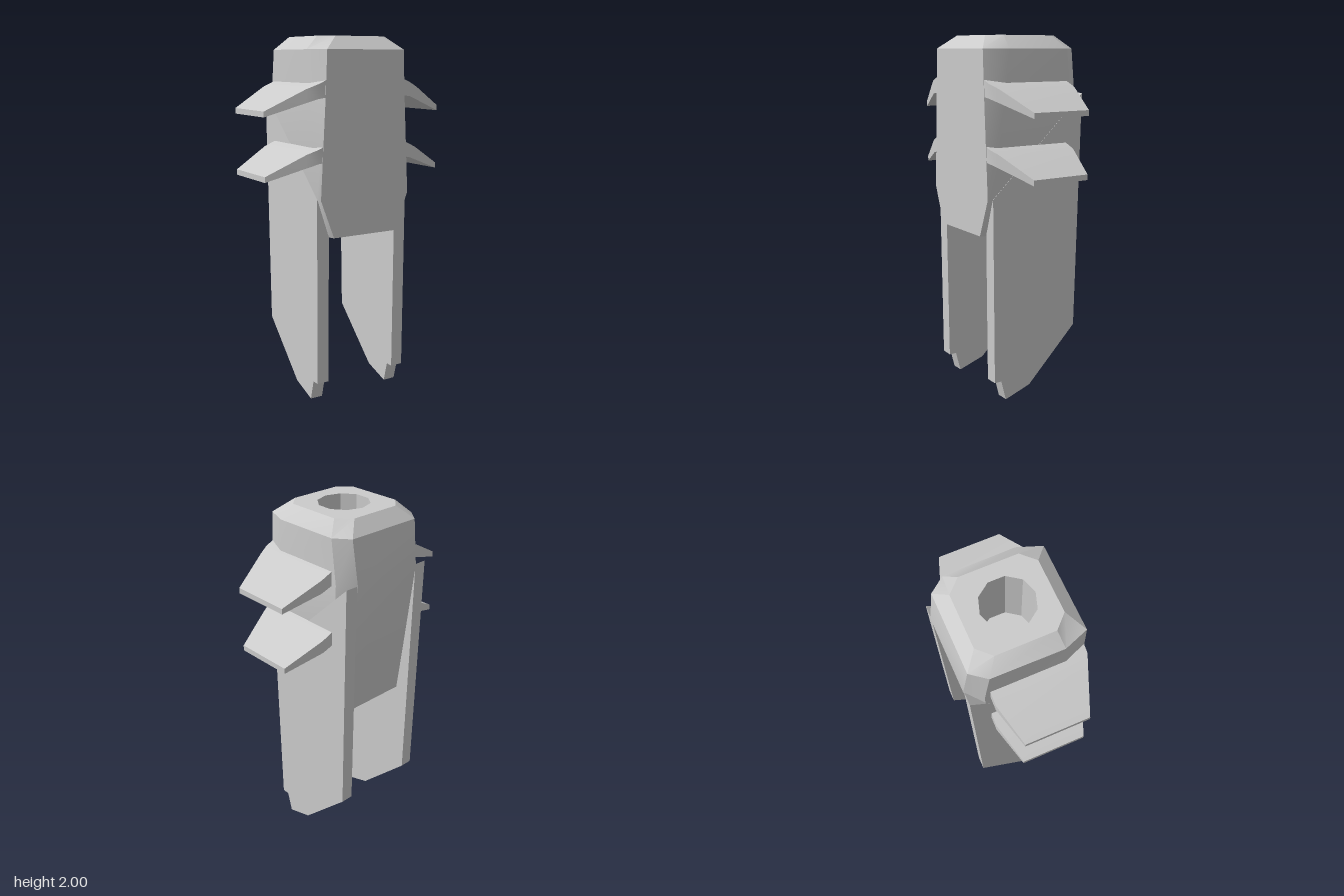
import * as THREE from 'three';
import { toCreasedNormals } from 'three/addons/utils/BufferGeometryUtils.js';

const material = new THREE.MeshStandardMaterial({ color: 0xcccccc });

function addMesh(group, name, geometry) {
  const mesh = new THREE.Mesh(geometry, material);
  mesh.name = name;
  group.add(mesh);
}

// Skin a row of equal-length rings, each counter-clockwise about the travel axis.
function loft(rings, capStart, capEnd) {
  const n = rings[0].length, index = [];
  for (let r = 0; r < rings.length - 1; r++) {
    for (let i = 0; i < n; i++) {
      const j = (i + 1) % n, a = r * n, b = a + n;
      index.push(a + i, a + j, b + j, a + i, b + j, b + i);
    }
  }
  const last = (rings.length - 1) * n;
  for (let i = 1; i < n - 1; i++) {
    if (capStart) index.push(0, i + 1, i);
    if (capEnd) index.push(last, last + i, last + i + 1);
  }
  const geometry = new THREE.BufferGeometry();
  geometry.setAttribute('position', new THREE.Float32BufferAttribute(rings.flat(2), 3));
  geometry.setIndex(index);
  return toCreasedNormals(geometry, 0.5);
}

// Mirror four right-hand corners (front to back) into a full ring.
function bodyRing(half) {
  return [...half, ...half.map(([x, y, z]) => [-x, y, z]).reverse()];
}

const level = (y, corners) => bodyRing(corners.map(([x, z]) => [x, y, z]));

function addBody(group) {
  const topRing = level(2, [[0.145, 0.235], [0.215, 0.165], [0.215, -0.145], [0.145, -0.215]]);
  const rings = [
    bodyRing([[0.2, 0.94, 0.31], [0.214, 0.94, 0.275], [0.214, 0.9, -0.17], [0.213, 0.89, -0.205]]),
    level(1.15, [[0.28, 0.31], [0.284, 0.275], [0.284, -0.2], [0.214, -0.24]]),
    level(1.69, [[0.25, 0.31], [0.286, 0.2], [0.285, -0.23], [0.212, -0.312]]),
    level(1.93, [[0.24, 0.31], [0.288, 0.18], [0.284, -0.2], [0.22, -0.282]]),
    topRing,
  ];
  addMesh(group, 'body', loft(rings, true, false));

  // Top face with a ten-sided socket
  const sides = 10, radius = 0.14, depth = 0.4, zc = 0.015;
  const face = new THREE.Shape(topRing.map(([x, , z]) => new THREE.Vector2(x, -z)));
  const rim = [];
  for (let i = 0; i < sides; i++) {
    const a = (i / sides) * Math.PI * 2;
    rim.push(new THREE.Vector2(Math.sin(a) * radius, -zc - Math.cos(a) * radius));
  }
  face.holes.push(new THREE.Path(rim));
  addMesh(group, 'topFace', new THREE.ShapeGeometry(face).rotateX(-Math.PI / 2).translate(0, 2, 0));
  addMesh(group, 'socketFloor',
    new THREE.ShapeGeometry(new THREE.Shape(rim)).rotateX(-Math.PI / 2).translate(0, 2 - depth, 0));

  // Inward-facing socket wall: rings run downward
  const wall = [2, 2 - depth].map((y) => rim.map((p) => [p.x, y, -p.y]));
  addMesh(group, 'socketWall', loft(wall, false, false));
}

// Long side plate, outlined in (z, y)
function addPlate(group, side) {
  const outline = [[0.28, 1.15], [-0.308, 1.69], [-0.275, 0.35], [0.04, 0.05],
    [0.2, 0], [0.23, 0.115], [0.273, 0.115]];
  const shape = new THREE.Shape(outline.map(([z, y]) => new THREE.Vector2(-z, y)));
  const geometry = new THREE.ExtrudeGeometry(shape, { depth: 0.072, bevelEnabled: false });
  geometry.rotateY(Math.PI / 2).translate(side > 0 ? 0.214 : -0.286, 0, 0);
  addMesh(group, side > 0 ? 'leftPlate' : 'rightPlate', geometry);
}

// Drooping fin: sections of x, top y, bottom y, front z, back z
function addFin(group, side, drop, name) {
  const sections = [
    [0.22, 1.785, 1.69, 0.308, -0.2],
    [0.29, 1.755, 1.68, 0.308, -0.2],
    [0.35, 1.73, 1.66, 0.285, -0.2],
    [0.555, 1.62, 1.59, 0.21, -0.135],
  ];
  const rings = sections.map(([x, top, bottom, front, back]) => {
    const ring = [[top, front], [bottom, front], [bottom, back], [top, back]]
      .map(([y, z]) => [side * x, y - drop, z]);
    return side > 0 ? ring : ring.reverse();
  });
  addMesh(group, name, loft(rings, true, true));
}

export function createModel() {
  const group = new THREE.Group();
  group.name = 'finnedFork';
  addBody(group);
  for (const side of [1, -1]) {
    const label = side > 0 ? 'left' : 'right';
    addPlate(group, side);
    addFin(group, side, 0, label + 'UpperFin');
    addFin(group, side, 0.335, label + 'LowerFin');
  }
  return group;
}
